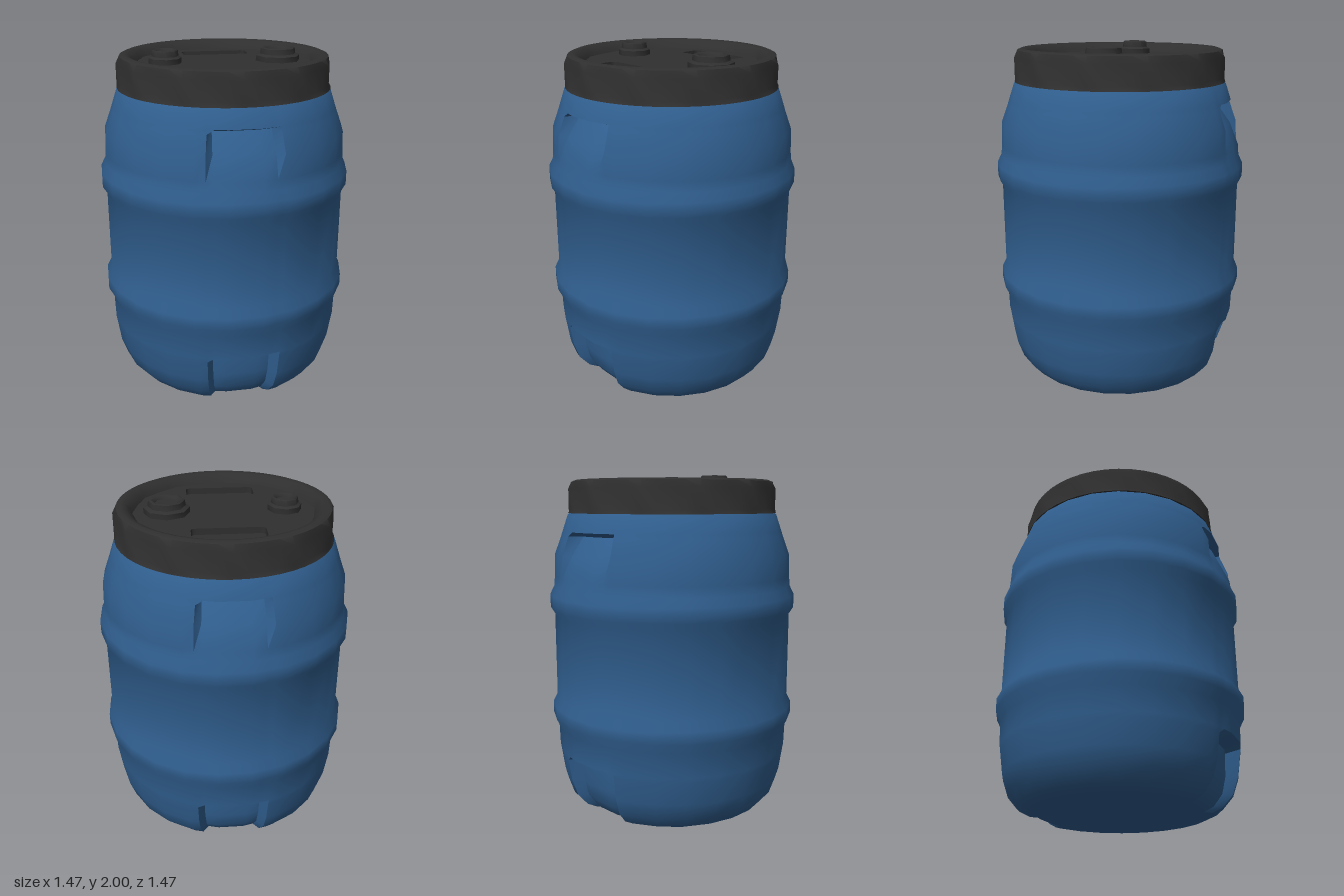
import * as THREE from 'three';
import { toCreasedNormals } from 'three/addons/utils/BufferGeometryUtils.js';

const rad = THREE.MathUtils.degToRad;

// Barrel wall: rows of [radius, height], bottom centre to top centre
const WALL = [
  [0.001, 0], [0.52, 0], [0.58, 0.03], [0.64, 0.1], [0.675, 0.2], [0.695, 0.335], [0.7, 0.365],
  [0.705, 0.51], [0.735, 0.57], [0.735, 0.64], [0.71, 0.69], [0.71, 1.19], [0.735, 1.23],
  [0.735, 1.31], [0.71, 1.36], [0.705, 1.42], [0.7, 1.55], [0.66, 1.66], [0.652, 1.685],
  [0.62, 1.78], [0.58, 1.82], [0.001, 1.82],
];

// How far the hand grips are pressed into the wall at a given height
function gripDepth(r, y) {
  if (r < 0.4) return 0;
  if (y < 0.35) return 0.05 + 0.12 * y;
  if (y > 1.42 && y < 1.67) return 0.09 * (y - 1.42) / 0.24;
  return 0;
}

// 24-sided wall with extra columns along the edges of the front and back grips
function barrelGeometry() {
  const columns = [];
  for (let i = 0; i < 24; i++) columns.push(7.5 + 15 * i);
  for (const a of [14, 17.5]) columns.push(a, 360 - a, 180 - a, 180 + a);
  columns.sort((a, b) => a - b);
  const n = columns.length, positions = [], indices = [];
  WALL.forEach(([r, y], row) => {
    columns.forEach((deg, c) => {
      const offset = deg - 15 * Math.round(deg / 15);
      const R = r / Math.cos(rad(offset));
      const x = R * Math.sin(rad(deg));
      let z = R * Math.cos(rad(deg));
      const fromAxis = Math.min(deg % 180, 180 - (deg % 180));
      if (fromAxis < 15) z -= Math.sign(z) * gripDepth(r, y);
      positions.push(x, y, z);
      if (row < WALL.length - 1) {
        const a = row * n + c, b = row * n + (c + 1) % n;
        indices.push(a, b, b + n, a, b + n, a + n);
      }
    });
  });
  const g = new THREE.BufferGeometry();
  g.setAttribute('position', new THREE.Float32BufferAttribute(positions, 3));
  g.setIndex(indices);
  return toCreasedNormals(g, rad(45));
}

function lathe(points, sides, crease) {
  const g = new THREE.LatheGeometry(points.map(([r, y]) => new THREE.Vector2(r, y)), sides);
  return toCreasedNormals(g, rad(crease));
}

// Screw ring: sides drawn in slightly between twelve ribs
function lidRingGeometry() {
  const points = [[0.56, 1.79], [0.622, 1.79], [0.622, 1.815], [0.622, 1.93], [0.6, 1.97],
    [0.575, 1.98], [0.545, 1.972], [0.525, 1.945], [0.51, 1.92]].map(([r, y]) => new THREE.Vector2(r, y));
  const g = new THREE.LatheGeometry(points, 48);
  const p = g.attributes.position;
  for (let i = 0; i < p.count; i++) {
    const column = Math.floor(i / points.length), y = p.getY(i);
    if (column % 4 !== 0 && y > 1.81 && y < 1.95) {
      p.setX(i, p.getX(i) * 0.978);
      p.setZ(i, p.getZ(i) * 0.978);
    }
  }
  return toCreasedNormals(g, rad(40));
}

function roundedRect(path, cx, cy, w, h, r) {
  const x = cx - w / 2, y = cy - h / 2;
  path.moveTo(x + r, y);
  path.lineTo(x + w - r, y);
  path.quadraticCurveTo(x + w, y, x + w, y + r);
  path.lineTo(x + w, y + h - r);
  path.quadraticCurveTo(x + w, y + h, x + w - r, y + h);
  path.lineTo(x + r, y + h);
  path.quadraticCurveTo(x, y + h, x, y + h - r);
  path.lineTo(x, y + r);
  path.quadraticCurveTo(x, y, x + r, y);
  return path;
}

// Lid plate pierced by two long finger slots
function lidPlateGeometry() {
  const plate = new THREE.Shape().absarc(0, 0, 0.525, 0, Math.PI * 2);
  for (const s of [-1, 1]) plate.holes.push(roundedRect(new THREE.Path(), 0, s * 0.335, 0.4, 0.14, 0.03));
  const g = new THREE.ExtrudeGeometry(plate, { depth: 0.04, bevelEnabled: false, curveSegments: 24 });
  return g.rotateX(-Math.PI / 2).translate(0, 1.885, 0);
}

export function createModel() {
  const blue = new THREE.MeshStandardMaterial({ color: 0x305e8e });
  blue.name = 'blue plastic';
  const black = new THREE.MeshStandardMaterial({ color: 0x2f2f2f });
  black.name = 'black plastic';

  const model = new THREE.Group();
  model.name = 'barrel';
  const add = (name, geometry, material, parent = model) => {
    const mesh = new THREE.Mesh(geometry, material);
    mesh.name = name;
    parent.add(mesh);
    return mesh;
  };

  add('barrelBody', barrelGeometry(), blue);

  const lid = new THREE.Group();
  lid.name = 'lid';
  model.add(lid);
  add('lidRing', lidRingGeometry(), black, lid);
  add('lidPlate', lidPlateGeometry(), black, lid);
  add('slotFloor', new THREE.CylinderGeometry(0.52, 0.52, 0.02, 32).translate(0, 1.88, 0), black, lid);

  // Eight-sided bung caps with dished tops
  for (const [name, x, r] of [['smallBung', -0.34, 0.095], ['largeBung', 0.32, 0.13]]) {
    const cap = [[r, 1.92], [r, 1.955], [r * 0.82, 1.965], [r * 0.78, 1.995], [r * 0.7, 2],
      [r * 0.6, 1.995], [r * 0.52, 1.98], [0, 1.975]];
    add(name, lathe(cap, 8, 50), black, lid).position.set(x, 0, 0);
  }
  return model;
}
